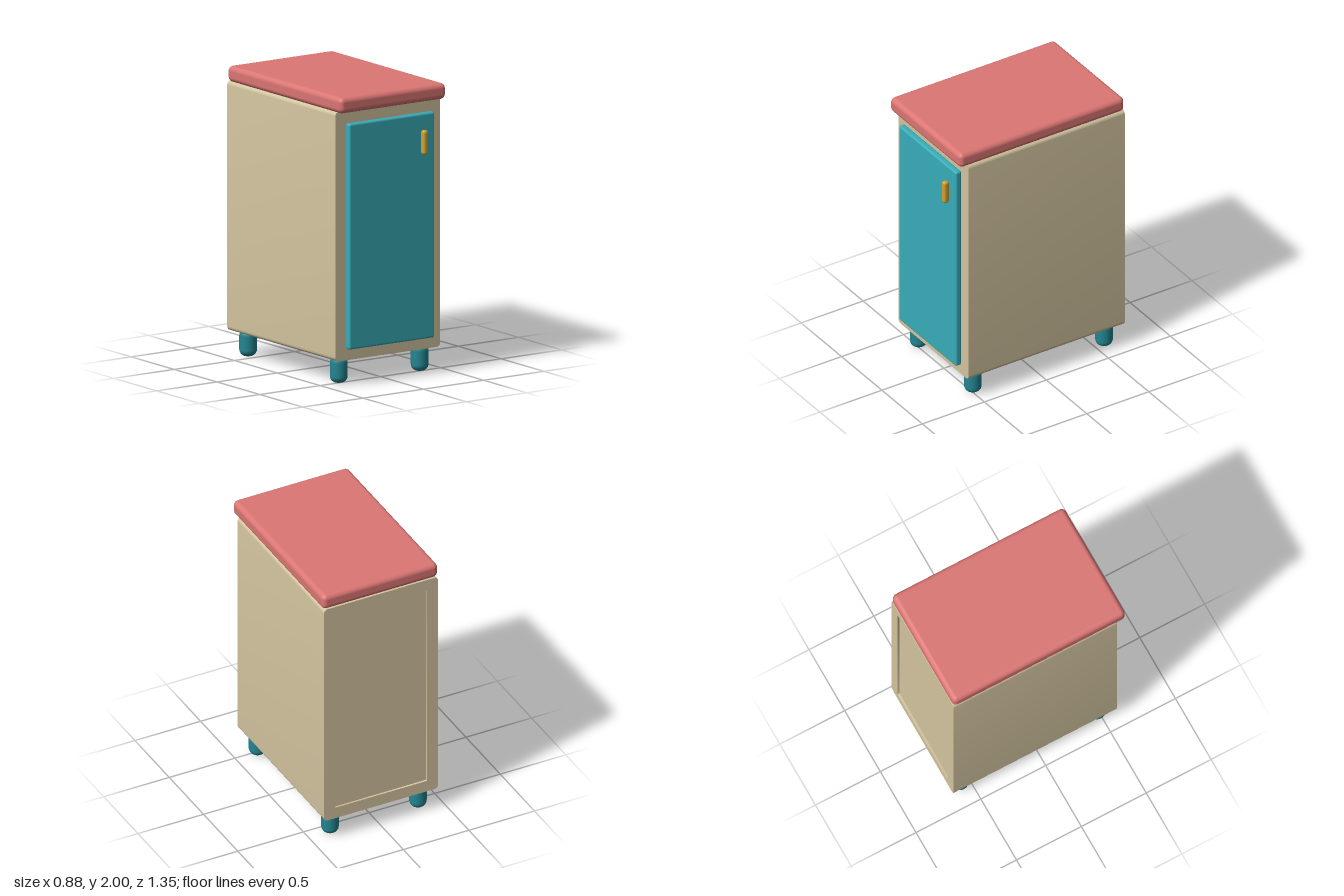
import * as THREE from 'three';
import { toCreasedNormals } from 'three/addons/utils/BufferGeometryUtils.js';
import { RoundedBoxGeometry } from 'three/addons/geometries/RoundedBoxGeometry.js';

const mat = (name, color) => {
  const m = new THREE.MeshStandardMaterial({ color });
  m.name = name;
  return m;
};

// Rounded rectangle outline
function roundedRect(x0, y0, x1, y1, r, Type = THREE.Shape) {
  const s = new Type();
  s.absarc(x1 - r, y0 + r, r, -Math.PI / 2, 0);
  s.absarc(x1 - r, y1 - r, r, 0, Math.PI / 2);
  s.absarc(x0 + r, y1 - r, r, Math.PI / 2, Math.PI);
  s.absarc(x0 + r, y0 + r, r, Math.PI, Math.PI * 1.5);
  s.closePath();
  return s;
}

function extrude(shape, z0, z1) {
  const g = new THREE.ExtrudeGeometry(shape, { depth: z1 - z0, bevelEnabled: false, curveSegments: 8 });
  g.translate(0, 0, z0);
  return toCreasedNormals(g, 0.6);
}

export function createModel() {
  const cream = mat('cream', 0xd4c5a0);
  const coral = mat('coral', 0xdb7674);
  const teal = mat('teal', 0x38adb9);
  const darkTeal = mat('dark teal', 0x238592);
  const brass = mat('brass', 0xd0a230);

  const group = new THREE.Group();
  group.name = 'cabinet';
  const add = (name, geometry, material, x = 0, y = 0, z = 0) => {
    const m = new THREE.Mesh(geometry, material);
    m.name = name;
    m.position.set(x, y, z);
    group.add(m);
  };

  // Carcass with a shallow recessed panel at the back
  add('body', extrude(roundedRect(-0.435, 0.17, 0.435, 1.895, 0.03), -0.66, 0.585), cream);
  const frame = roundedRect(-0.435, 0.17, 0.435, 1.895, 0.03);
  frame.holes.push(roundedRect(-0.35, 0.255, 0.35, 1.81, 0.006, THREE.Path));
  add('backFrame', extrude(frame, -0.675, -0.66), cream);

  // Worktop, overhanging at the front
  add('worktop', new RoundedBoxGeometry(0.88, 0.11, 1.33, 5, 0.035), coral, 0, 1.945, -0.01);

  // Door and its handle
  add('door', new RoundedBoxGeometry(0.71, 1.56, 0.048, 4, 0.015), teal, 0, 1.03, 0.612);
  add('handle', new RoundedBoxGeometry(0.042, 0.168, 0.044, 4, 0.017), brass, 0.255, 1.614, 0.655);

  // Four rounded feet
  const profile = [new THREE.Vector2(0, 0)];
  const r = 0.06, c = 0.045, h = 0.185;
  for (let i = 0; i <= 8; i++) {
    const a = (i / 8) * Math.PI / 2;
    profile.push(new THREE.Vector2(r - c + c * Math.sin(a), c - c * Math.cos(a)));
  }
  for (let i = 0; i <= 8; i++) {
    const a = (i / 8) * Math.PI / 2;
    profile.push(new THREE.Vector2(r - c + c * Math.cos(a), h - c + c * Math.sin(a)));
  }
  profile.push(new THREE.Vector2(0, h));
  const footGeometry = new THREE.LatheGeometry(profile, 28);
  for (const x of [-0.335, 0.335]) {
    for (const z of [0.485, -0.572]) {
      add((z > 0 ? 'front' : 'back') + (x > 0 ? 'Left' : 'Right') + 'Foot', footGeometry, darkTeal, x, 0, z);
    }
  }
  return group;
}
